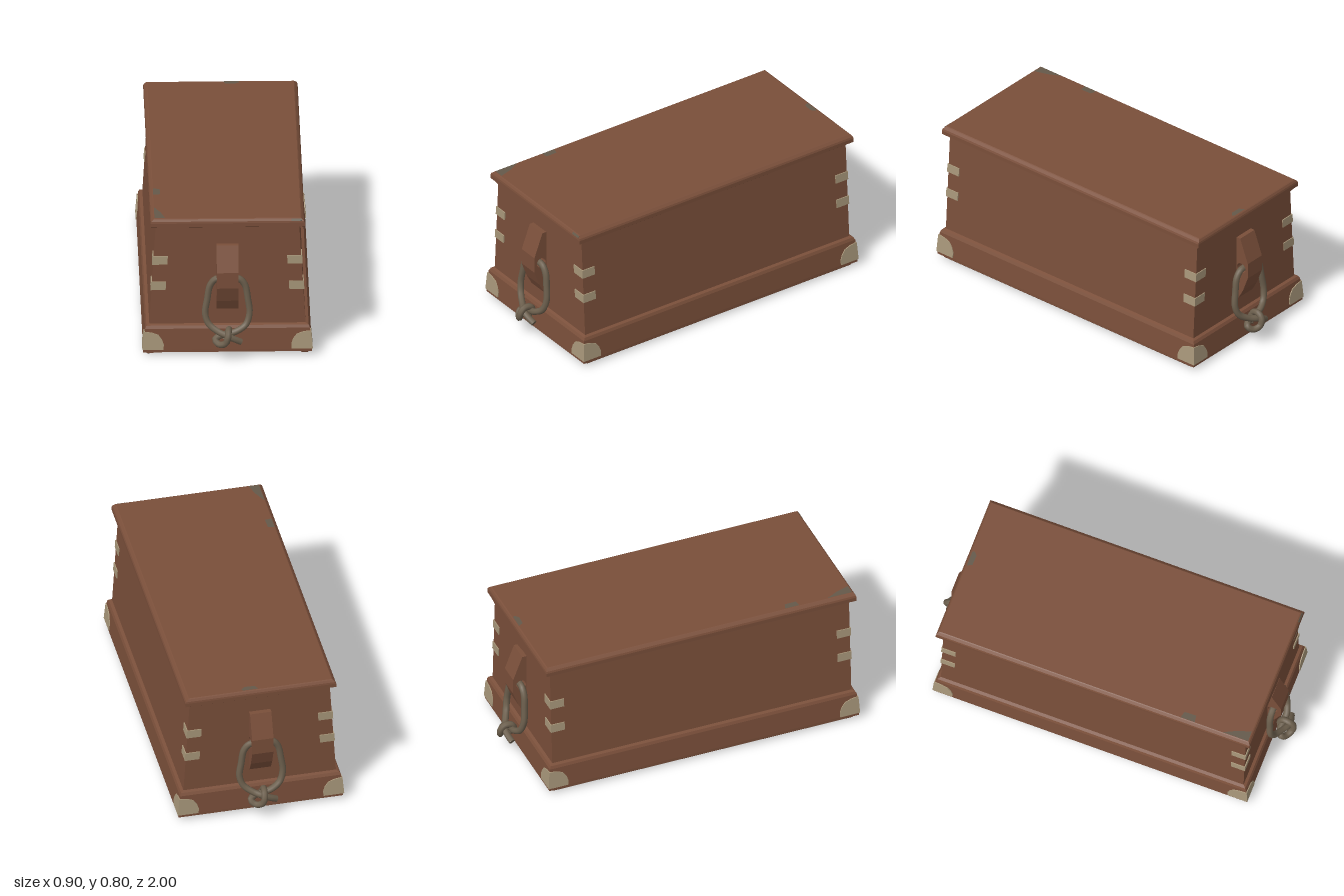
import * as THREE from 'three';

const mat = (name, color) => {
  const m = new THREE.MeshStandardMaterial({ color });
  m.name = name;
  return m;
};

// Stack of rectangular rings [halfX, y, halfZ], closed top and bottom, flat facets
function loft(rings) {
  const pos = [], idx = [];
  for (const [x, y, z] of rings) pos.push(-x, y, z, x, y, z, x, y, -z, -x, y, -z);
  const n = rings.length;
  for (let r = 0; r < n - 1; r++) {
    for (let i = 0; i < 4; i++) {
      const a = r * 4 + i, b = r * 4 + (i + 1) % 4;
      idx.push(a, b, b + 4, a, b + 4, a + 4);
    }
  }
  const t = (n - 1) * 4;
  idx.push(t, t + 1, t + 2, t, t + 2, t + 3, 0, 2, 1, 0, 3, 2);
  const g = new THREE.BufferGeometry();
  g.setAttribute('position', new THREE.Float32BufferAttribute(pos, 3));
  g.setIndex(idx);
  const flat = g.toNonIndexed();
  flat.computeVertexNormals();
  return flat;
}

// Half-width and half-length of the box wall and of the plinth at a height
const bodyAt = y => [0.415 - (y - 0.17) * 0.061, 0.857];
const baseAt = y => [0.447 - (y - 0.035) * 0.083, 0.887 - (y - 0.035) * 0.058];

// Thin plate following a wall near a corner; outline is in (distance from corner, y)
function cornerPlate(outline, wallAt, sx, sz, onSide) {
  const t = 0.005;
  const shape = new THREE.Shape(outline.map(([u, y]) => new THREE.Vector2(-u, y)));
  const g = new THREE.ExtrudeGeometry(shape, { depth: t, bevelEnabled: false });
  const p = g.attributes.position;
  for (let i = 0; i < p.count; i++) {
    const u = p.getX(i), y = p.getY(i), d = p.getZ(i), [hx, hz] = wallAt(y);
    if (onSide) p.setXYZ(i, sx * (hx + d), y, sz * (hz + t + u));
    else p.setXYZ(i, sx * (hx + t + u), y, sz * (hz + d));
  }
  // mirrored copies need their corner order reversed
  if (sx * sz * (onSide ? -1 : 1) < 0) {
    const a = new THREE.Vector3(), b = new THREE.Vector3();
    for (let i = 0; i < p.count; i += 3) {
      a.fromBufferAttribute(p, i + 1);
      b.fromBufferAttribute(p, i + 2);
      p.setXYZ(i + 1, b.x, b.y, b.z);
      p.setXYZ(i + 2, a.x, a.y, a.z);
    }
  }
  g.computeVertexNormals();
  return g;
}

export function createModel() {
  const root = new THREE.Group();
  root.name = 'seaChest';
  const wood = mat('brownWood', 0x7a4f3a);
  const bone = mat('paleFitting', 0xa8977a);
  const rope = mat('ropeBrown', 0x6c5f4d);
  const worn = mat('wornPatch', 0x64594a);
  const add = (parent, name, geo, material) => {
    const m = new THREE.Mesh(geo, material);
    m.name = name;
    parent.add(m);
    return m;
  };
  const v2 = ([x, y]) => new THREE.Vector2(x, y);

  // Tapered box, plinth with a recessed underside, and lid
  add(root, 'body', loft([[0.415, 0.16, 0.857], [0.38, 0.75, 0.857]]), wood);
  add(root, 'plinth', loft([
    [0.39, 0.045, 0.84], [0.392, 0.018, 0.843],
    [0.435, 0.017, 0.875], [0.447, 0.022, 0.887], [0.447, 0.035, 0.887],
    [0.437, 0.155, 0.88], [0.43, 0.17, 0.872], [0.413, 0.176, 0.857],
  ]), wood);
  add(root, 'lid', loft([
    [0.404, 0.745, 0.884], [0.409, 0.749, 0.889], [0.409, 0.77, 0.889],
    [0.405, 0.78, 0.887], [0.393, 0.791, 0.88], [0.388, 0.794, 0.874],
  ]), wood);

  // Worn patches on the lid, as outlines in (x, -z), and one on its front edge
  const patches = [
    [[0.01, 0.872], [0.025, 0.845], [0.08, 0.843], [0.1, 0.86], [0.095, 0.872]],
    [[-0.387, -0.49], [-0.387, -0.57], [-0.35, -0.565], [-0.352, -0.5]],
    [[-0.387, -0.73], [-0.387, -0.872], [-0.33, -0.872], [-0.352, -0.8]],
  ];
  for (const outline of patches) {
    const g = new THREE.ShapeGeometry(new THREE.Shape(outline.map(v2)));
    add(root, 'wornPatch', g.rotateX(-Math.PI / 2).translate(0, 0.7955, 0), worn);
  }
  const edgePatch = add(root, 'wornEdge', new THREE.BoxGeometry(0.055, 0.013, 0.002), worn);
  edgePatch.position.set(0.366, 0.7855, 0.8835);
  edgePatch.rotation.x = -Math.atan2(0.007, 0.011);

  // Runners under the long sides
  for (const s of [-1, 1]) {
    const r = add(root, 'runner', loft([
      [0.014, 0, 0.85], [0.019, 0.005, 0.857], [0.019, 0.02, 0.857],
    ]), wood);
    r.position.x = s * 0.41;
  }

  // Corner straps and plinth guards
  const strap = (y0, y1) => [[0, y0], [0.08, y0], [0.08, y1], [0, y1]];
  const guard = [[0, 0.038], [0.112, 0.038], [0.112, 0.066], [0.1, 0.095],
    [0.078, 0.122], [0.045, 0.134], [0.015, 0.139], [0, 0.139]];
  for (const sx of [-1, 1]) for (const sz of [-1, 1]) for (const onSide of [false, true]) {
    add(root, 'lowerStrap', cornerPlate(strap(0.372, 0.42), bodyAt, sx, sz, onSide), bone);
    add(root, 'upperStrap', cornerPlate(strap(0.52, 0.568), bodyAt, sx, sz, onSide), bone);
    add(root, 'cornerGuard', cornerPlate(guard, baseAt, sx, sz, onSide), bone);
  }

  // End fittings: pointed lid apron, cleat with a rope hole, knotted rope handle
  const apronShape = new THREE.Shape([[-0.38, 0.748], [-0.01, 0.685], [0.01, 0.685], [0.38, 0.748]].map(v2));
  const cleatShape = new THREE.Shape([[0.85, 0.265], [0.87, 0.265], [0.902, 0.325],
    [0.934, 0.41], [0.934, 0.5], [0.882, 0.638], [0.85, 0.638]].map(v2));
  const hole = new THREE.Path();
  hole.absarc(0.889, 0.457, 0.029, 0, Math.PI * 2, true);
  cleatShape.holes.push(hole);
  const ropePath = new THREE.CatmullRomCurve3([
    [0.07, 0.105, 0.945], [0.035, 0.125, 0.955], [-0.005, 0.146, 0.957], [-0.05, 0.16, 0.935],
    [-0.1, 0.195, 0.91], [-0.119, 0.25, 0.897], [-0.108, 0.33, 0.89], [-0.092, 0.41, 0.886],
    [-0.062, 0.446, 0.887], [0, 0.45, 0.889], [0.062, 0.446, 0.887], [0.092, 0.41, 0.886],
    [0.108, 0.33, 0.89], [0.116, 0.25, 0.897], [0.096, 0.19, 0.91], [0.05, 0.16, 0.925],
    [0.01, 0.145, 0.922], [-0.04, 0.132, 0.922], [-0.067, 0.117, 0.94], [-0.045, 0.098, 0.962],
    [-0.012, 0.112, 0.98], [0.0, 0.145, 0.982], [0.003, 0.172, 0.96], [0.006, 0.168, 0.922],
    [0, 0.135, 0.906], [-0.02, 0.108, 0.918],
  ].map(p => new THREE.Vector3(...p)));

  for (const [name, angle] of [['frontEnd', 0], ['backEnd', Math.PI]]) {
    const end = new THREE.Group();
    end.name = name;
    end.rotation.y = angle;
    root.add(end);

    const apron = new THREE.ExtrudeGeometry(apronShape, { depth: 0.037, bevelEnabled: false });
    add(end, 'lidApron', apron.translate(0, 0, 0.85), wood);

    const cleat = new THREE.ExtrudeGeometry(cleatShape, { depth: 0.116, bevelEnabled: false, curveSegments: 10 });
    add(end, 'cleat', cleat.rotateY(-Math.PI / 2).translate(0.058, 0, 0), wood);

    add(end, 'ropeHandle', new THREE.TubeGeometry(ropePath, 120, 0.018, 8), rope);
    for (const t of [0, 1]) {
      const cap = add(end, 'ropeEnd', new THREE.CircleGeometry(0.018, 8), rope);
      const dir = ropePath.getTangentAt(t).multiplyScalar(t ? 1 : -1);
      cap.position.copy(ropePath.getPointAt(t));
      cap.quaternion.setFromUnitVectors(new THREE.Vector3(0, 0, 1), dir);
    }
  }
  return root;
}
